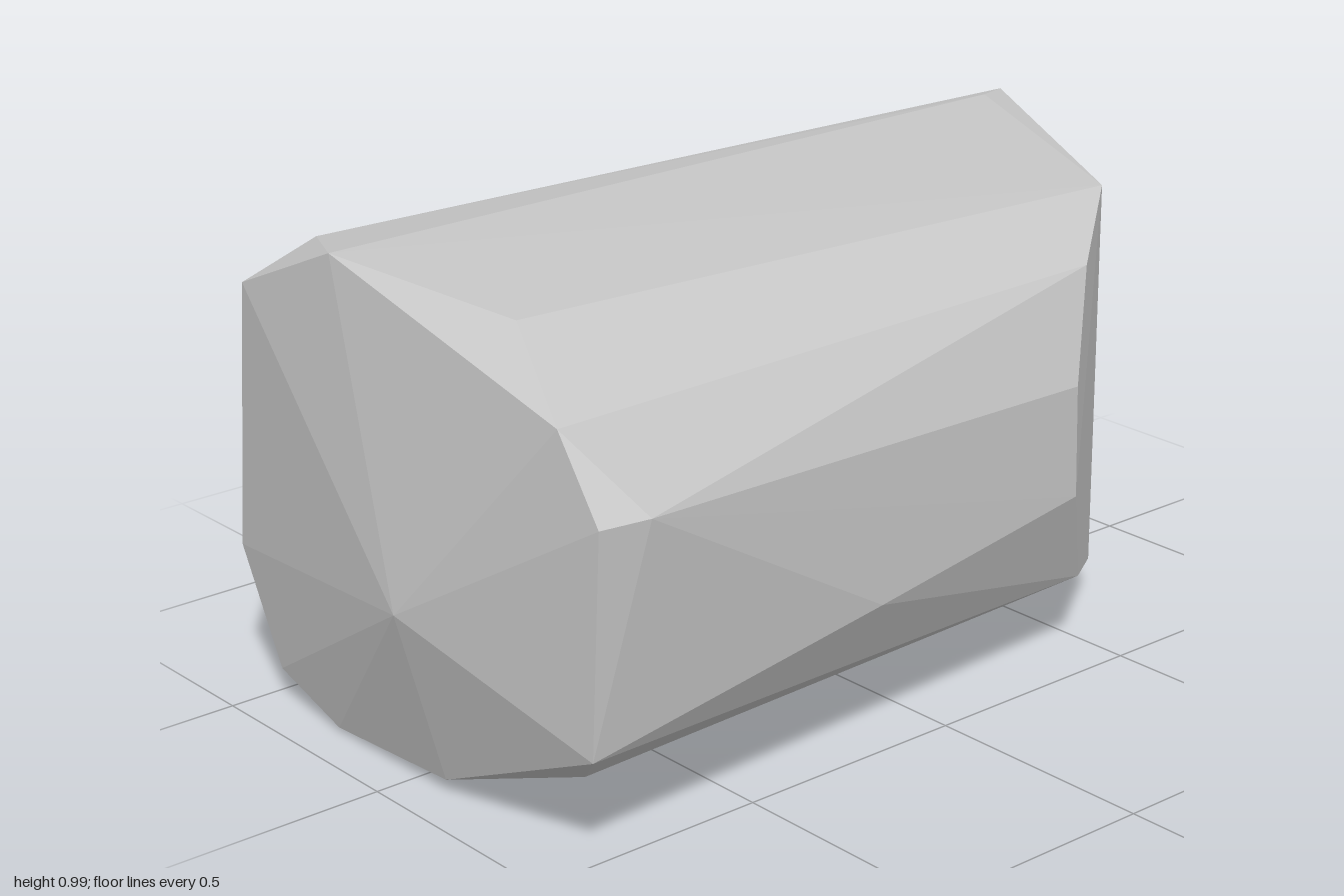
import * as THREE from 'three';
import { ConvexGeometry } from 'three/addons/geometries/ConvexGeometry.js';

export function createModel() {
  const model = new THREE.Group();
  model.name = 'rock';
  const stone = new THREE.MeshStandardMaterial({ color: 0xc6c6c6, flatShading: true });
  stone.name = 'light grey stone';

  // Broad end: a ring of (y, z) corners, capped by a shallow tip
  const broadEnd = [
    [0.835, 0.46], [0.68, 0.57], [0.23, 0.54], [0.03, 0.09], [0.01, -0.265],
    [0.07, -0.46], [0.3, -0.581], [0.86, -0.525], [0.99, -0.22],
  ].map(([y, z]) => [-0.905, y, z]);
  const tip = [-1, 0.39, 0.08];

  // Chipped corners just inside the broad end, and bulges along the sides
  const chips = [
    [-0.8, 0.945, 0.21], [-0.8, 0.68, 0.585], [-0.8, 0.11, 0.38],
    [-0.8, 0.72, -0.583], [-0.8, 0.955, -0.42], [-0.22, 0.34, 0.55],
    [-0.4, 0.003, -0.265], [0.78, 0.022, -0.265], [0.88, 0.965, -0.31],
  ];

  // Slanted cut across the narrow end, from the front round to the back
  const cutEnd = [
    [0.34, 0.63, 0.505], [0.34, 0.4, 0.51],
    [0.45, 0.835, 0.415], [0.45, 0.17, 0.42],
    [0.675, 0.917, 0.24], [0.695, 0.078, 0.22],
    [0.985, 0.95, -0.365], [1, 0.073, -0.385],
    [0.985, 0.875, -0.485], [0.99, 0.14, -0.495],
    [0.98, 0.71, -0.557], [0.98, 0.29, -0.557],
  ];

  const corners = [tip, ...broadEnd, ...chips, ...cutEnd].map((p) => new THREE.Vector3(...p));
  const boulder = new THREE.Mesh(new ConvexGeometry(corners), stone);
  boulder.name = 'boulder';
  model.add(boulder);
  return model;
}
